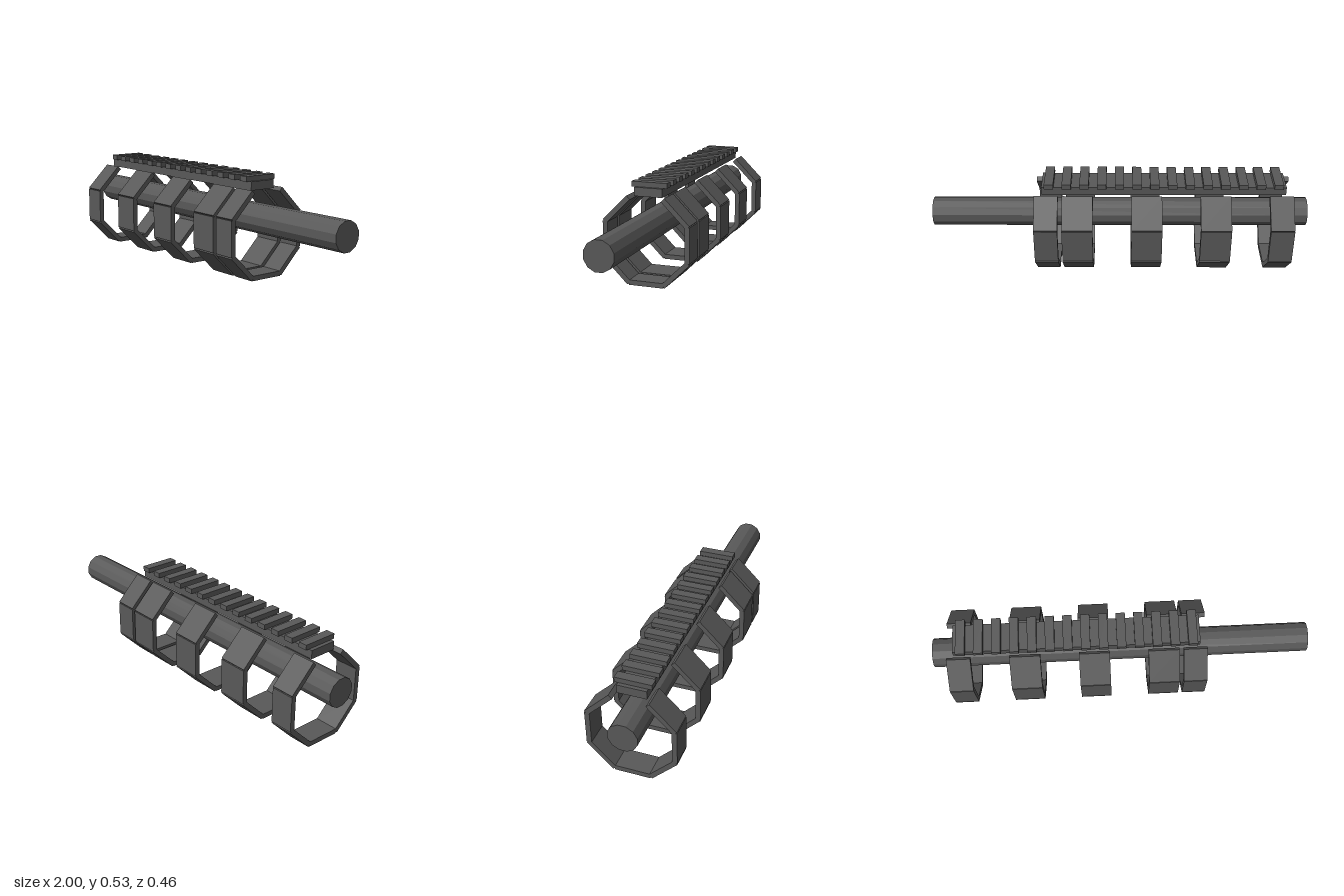
import * as THREE from 'three';

export function createModel() {
  const group = new THREE.Group();
  const gunmetal = new THREE.MeshStandardMaterial({ color: 0x595959, flatShading: true });
  gunmetal.name = 'dark grey metal';

  function box(parent, name, size, pos, tilt = 0) {
    const mesh = new THREE.Mesh(new THREE.BoxGeometry(...size), gunmetal);
    mesh.name = name;
    mesh.position.set(...pos);
    mesh.rotation.x = tilt;
    parent.add(mesh);
  }

  // Twelve-sided barrel along x, with a flat facing up
  const barrelGeometry = new THREE.CylinderGeometry(0.0776, 0.0776, 2, 12);
  barrelGeometry.rotateY(Math.PI / 12).rotateZ(Math.PI / 2);
  const barrel = new THREE.Mesh(barrelGeometry, gunmetal);
  barrel.name = 'barrel';
  barrel.position.y = 0.307;
  group.add(barrel);

  // Octagonal bands, open at the top, each made of seven plates
  const thick = 0.026, plate = 0.185;
  const bands = [[-0.91, -0.785], [-0.583, -0.422], [-0.221, -0.06], [0.142, 0.304], [0.326, 0.45]];
  bands.forEach(([x0, x1], i) => {
    const band = new THREE.Group();
    band.name = `handguardBand${i + 1}`;
    band.position.x = (x0 + x1) / 2;
    group.add(band);
    const w = x1 - x0;
    box(band, 'bottomPlate', [w, thick, plate], [0, 0.0145, 0]);
    for (const s of [1, -1]) {
      box(band, 'sidePlate', [w, plate, thick], [0, 0.233, s * 0.219]);
      box(band, 'lowerSlantedPlate', [w, plate, thick], [0, 0.077, s * 0.157], s * Math.PI / 4);
      box(band, 'upperSlantedPlate', [w, plate, thick], [0, 0.389, s * 0.157], -s * Math.PI / 4);
    }
  });

  // Top rail with fourteen cross teeth
  const rail = new THREE.Group();
  rail.name = 'topRail';
  group.add(rail);
  box(rail, 'railBase', [1.284, 0.045, 0.15], [-0.23, 0.479, 0]);
  for (let i = 0; i < 14; i++) {
    box(rail, 'railTooth', [0.048, 0.027, 0.189], [-0.829 + i * 0.0924, 0.5145, 0]);
  }
  return group;
}
